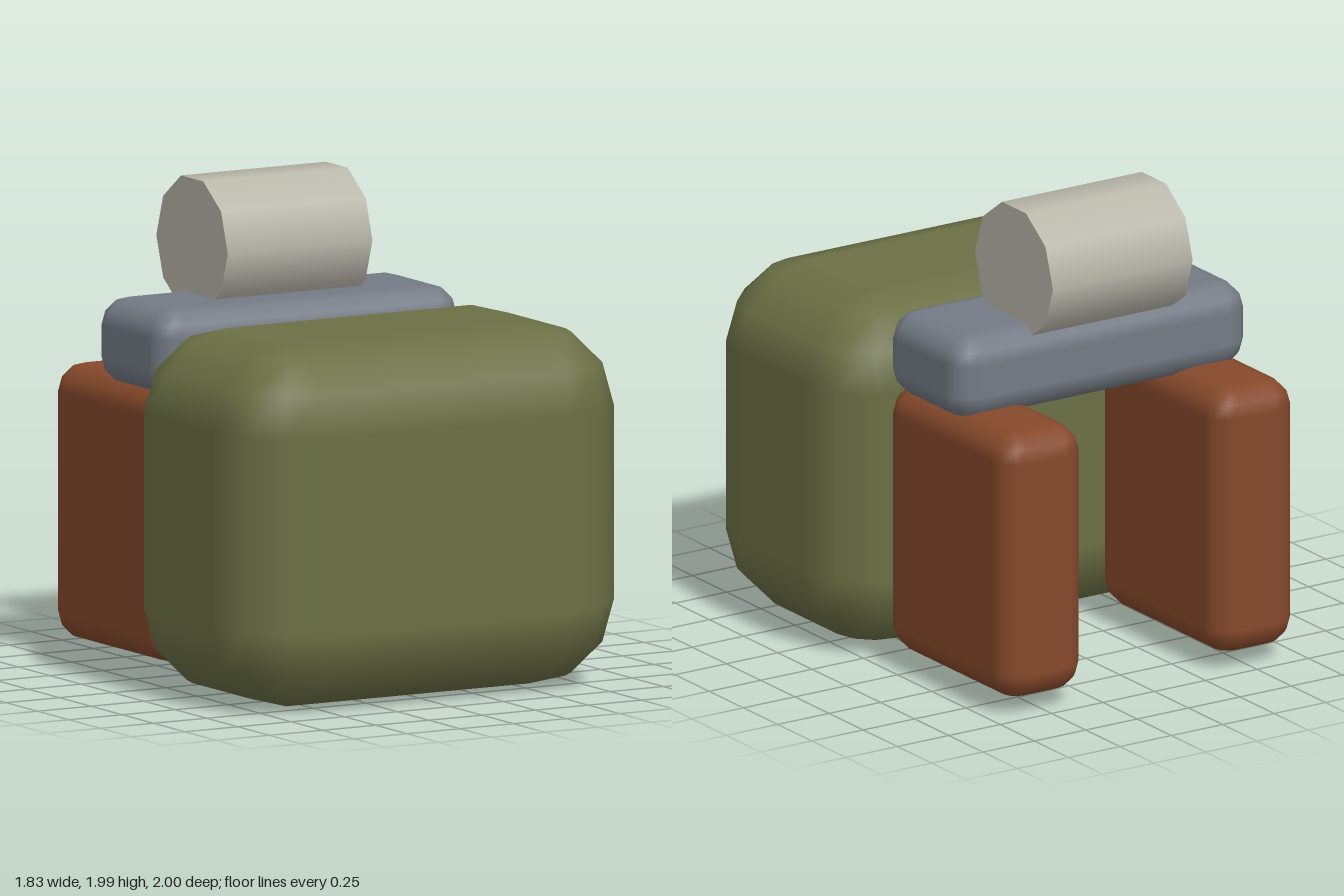
import * as THREE from 'three';

const olive = new THREE.MeshStandardMaterial({ color: 0x6b7045 });
const brown = new THREE.MeshStandardMaterial({ color: 0x86492b });
const slate = new THREE.MeshStandardMaterial({ color: 0x747b85 });
const pale = new THREE.MeshStandardMaterial({ color: 0xb9b6aa });

// Box with rounded edges: a sphere grid whose eight octants are pulled apart.
function roundedBox(w, h, d, r, steps = 3) {
  const position = [], normal = [], index = [];
  const rows = [];
  for (const side of [-1, 1]) {
    for (let i = 0; i <= steps; i++) {
      rows.push({ side, lat: ((side < 0 ? i - steps : i) / steps) * Math.PI / 2, cap: false });
    }
  }
  // Collapsed end rows close the flat bottom and top.
  rows.unshift({ ...rows[0], cap: true });
  rows.push({ ...rows[rows.length - 1], cap: true });

  const cols = 4 * (steps + 1);
  for (const { side, lat, cap } of rows) {
    for (let q = 0; q < 4; q++) {
      const sx = q === 0 || q === 3 ? 1 : -1;
      const sz = q < 2 ? 1 : -1;
      for (let k = 0; k <= steps; k++) {
        const phi = (q + k / steps) * Math.PI / 2;
        const nx = Math.cos(lat) * Math.cos(phi);
        const ny = Math.sin(lat);
        const nz = Math.cos(lat) * Math.sin(phi);
        normal.push(nx, ny, nz);
        position.push(
          cap ? 0 : sx * (w / 2 - r) + nx * r,
          side * (h / 2 - r) + ny * r,
          cap ? 0 : sz * (d / 2 - r) + nz * r
        );
      }
    }
  }
  for (let i = 0; i < rows.length - 1; i++) {
    for (let j = 0; j < cols; j++) {
      const a = i * cols + j, b = i * cols + (j + 1) % cols;
      index.push(a, a + cols, b, b, a + cols, b + cols);
    }
  }
  const geometry = new THREE.BufferGeometry();
  geometry.setAttribute('position', new THREE.Float32BufferAttribute(position, 3));
  geometry.setAttribute('normal', new THREE.Float32BufferAttribute(normal, 3));
  geometry.setIndex(index);
  return geometry;
}

export function createModel() {
  const model = new THREE.Group();
  const add = (name, geometry, material, x, y, z) => {
    const mesh = new THREE.Mesh(geometry, material);
    mesh.name = name;
    mesh.position.set(x, y, z);
    model.add(mesh);
    return mesh;
  };

  // Large soft pack at the front
  add('pack', roundedBox(1.83, 1.49, 1.145, 0.345), olive, 0, 0.745, 0.4275);

  // Crossbar joining the two straps
  add('crossbar', roundedBox(1.43, 0.36, 0.57, 0.115), slate, 0, 1.337, -0.37);

  // Mirrored straps at the back
  const strap = roundedBox(0.4, 1.135, 0.915, 0.115);
  add('leftStrap', strap, brown, 0.515, 0.632, -0.5425);
  add('rightStrap', strap, brown, -0.515, 0.632, -0.5425);

  // Ten-sided roll resting on the crossbar
  const roll = new THREE.CylinderGeometry(0.285, 0.285, 0.68, 10);
  roll.rotateZ(Math.PI / 2);
  add('bedroll', roll, pale, 0, 1.717, -0.485);

  return model;
}
